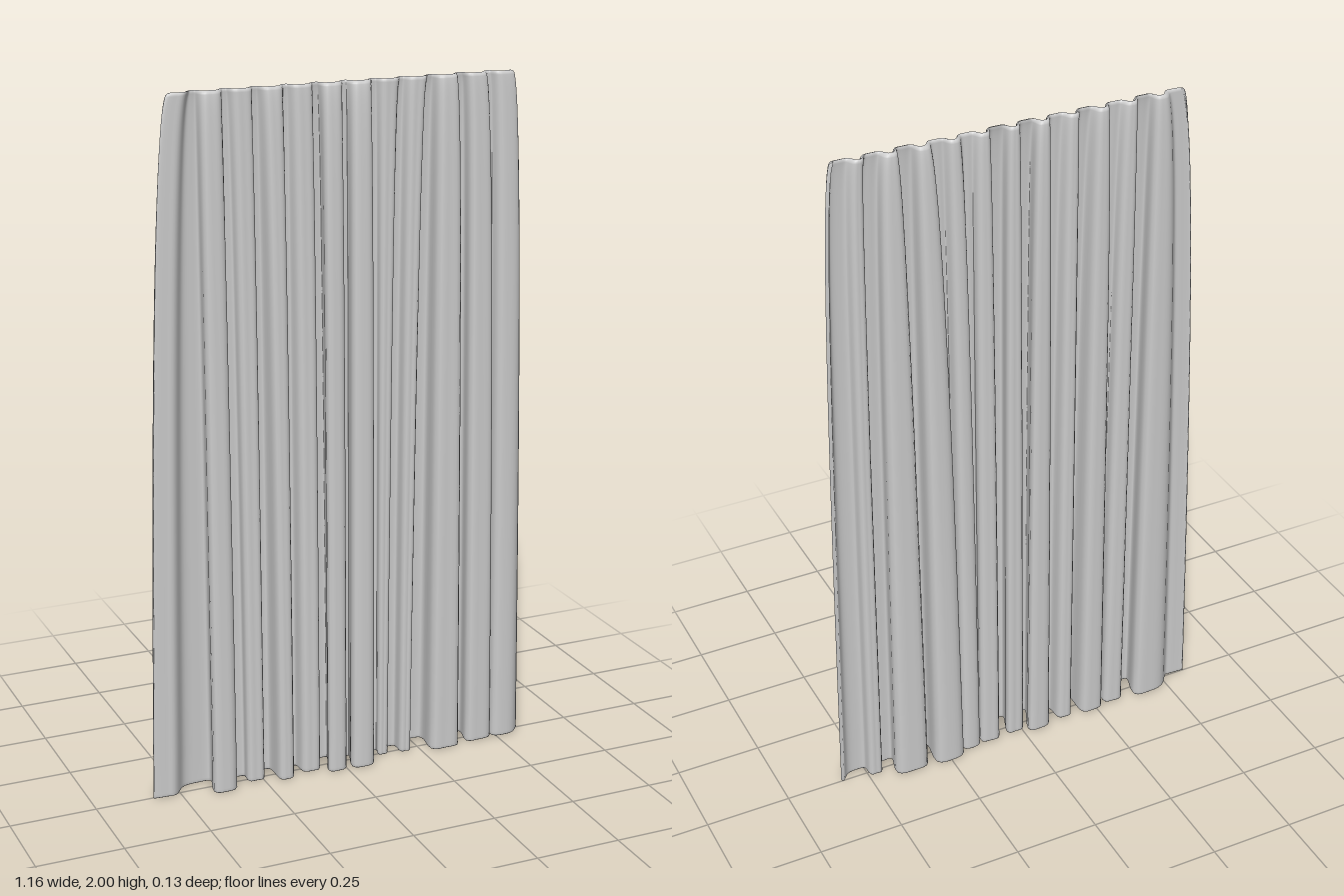
import * as THREE from 'three';

// Folds along the hem, left to right in x: [centre x, depth z, half width]
const FOLDS = [
  [-0.54, 0.006, 0.025], [-0.435, -0.042, 0.045], [-0.375, 0.046, 0.03], [-0.315, -0.03, 0.025],
  [-0.27, 0.014, 0.02], [-0.235, -0.042, 0.03], [-0.185, 0.042, 0.018], [-0.145, -0.032, 0.018],
  [-0.1, 0.022, 0.022], [-0.052, -0.046, 0.03], [-0.028, 0.052, 0.024], [0.02, -0.025, 0.022],
  [0.052, 0.058, 0.03], [0.105, -0.03, 0.025], [0.135, 0.005, 0.01], [0.17, -0.036, 0.022],
  [0.205, 0.012, 0.012], [0.25, -0.058, 0.04], [0.325, 0.04, 0.04], [0.37, -0.05, 0.045],
  [0.44, 0.03, 0.035], [0.475, -0.012, 0.015], [0.525, 0.03, 0.03],
];
const HEIGHT = 2;
const HALF_THICKNESS = 0.005;
const TOP_LEFT = -0.48, TOP_RIGHT = 0.51;
const HEM_LEFT = -0.58, HEM_RIGHT = 0.578;
const SAMPLES = 4; // columns per control point

// Three points per fold give it a broad, rounded crest
function foldPoints(left, right, folds) {
  const points = [new THREE.Vector3(left, 0, 0.003)];
  for (const [x, z, w] of folds) {
    points.push(
      new THREE.Vector3(x - w, 0, z * 0.8),
      new THREE.Vector3(x, 0, z),
      new THREE.Vector3(x + w, 0, z * 0.8),
    );
  }
  points.push(new THREE.Vector3(right, 0, 0));
  return points;
}

// Even, shallow pleats along the heading
function headingFolds() {
  const step = (TOP_RIGHT - TOP_LEFT) / FOLDS.length;
  return FOLDS.map((_, i) => {
    const front = i % 2 === 0;
    return [TOP_LEFT + (i + 0.5) * step, front ? 0.008 : -0.013, front ? 0.02 : 0.009];
  });
}

// Rows as [height, thickness factor]; both rims close in a rounded edge
function rowList() {
  const rows = [[HEIGHT, 0], [HEIGHT - 0.002, 0.7], [HEIGHT - 0.007, 1]];
  const count = 36;
  for (let i = 1; i <= count; i++) {
    const v = i / count;
    rows.push([HEIGHT - 0.007 - (HEIGHT - 0.019) * Math.pow(v, 1.8), 1]);
  }
  rows.push([0.004, 1.1], [0.001, 0.7], [0, 0]);
  return rows;
}

function curtainGeometry() {
  const top = foldPoints(TOP_LEFT, TOP_RIGHT, headingFolds());
  const hem = foldPoints(HEM_LEFT, HEM_RIGHT, FOLDS);
  const columns = (top.length - 1) * SAMPLES + 1;
  const ring = columns * 2;
  const rows = rowList();
  const positions = [];
  const indices = [];

  rows.forEach(([y, factor], r) => {
    // The cloth spreads quickly below the heading, then hangs almost straight
    const spread = Math.pow((HEIGHT - y) / HEIGHT, 0.4);
    const curve = new THREE.CatmullRomCurve3(
      top.map((p, i) => p.clone().lerp(hem[i], spread)), false, 'catmullrom', 0.5);
    const offset = HALF_THICKNESS * factor;

    // Each row is a closed ring: front face rightwards, back face leftwards
    for (let c = 0; c < ring; c++) {
      const front = c < columns;
      const t = (front ? c : ring - 1 - c) / (columns - 1);
      const p = curve.getPoint(t);
      const d = curve.getTangent(t);
      const s = front ? offset : -offset;
      positions.push(p.x - d.z * s, y, p.z + d.x * s);
    }
    if (r === 0) return;
    for (let c = 0; c < ring; c++) {
      const next = (c + 1) % ring;
      const a = (r - 1) * ring + c, b = (r - 1) * ring + next;
      const e = r * ring + c, f = r * ring + next;
      indices.push(a, e, b, b, e, f);
    }
  });

  const geometry = new THREE.BufferGeometry();
  geometry.setAttribute('position', new THREE.Float32BufferAttribute(positions, 3));
  geometry.setIndex(indices);
  geometry.computeVertexNormals();
  return geometry;
}

export function createModel() {
  const group = new THREE.Group();
  group.name = 'curtain';
  const material = new THREE.MeshStandardMaterial({ color: 0xcccccc, side: THREE.DoubleSide });
  const cloth = new THREE.Mesh(curtainGeometry(), material);
  cloth.name = 'curtainCloth';
  group.add(cloth);
  return group;
}
